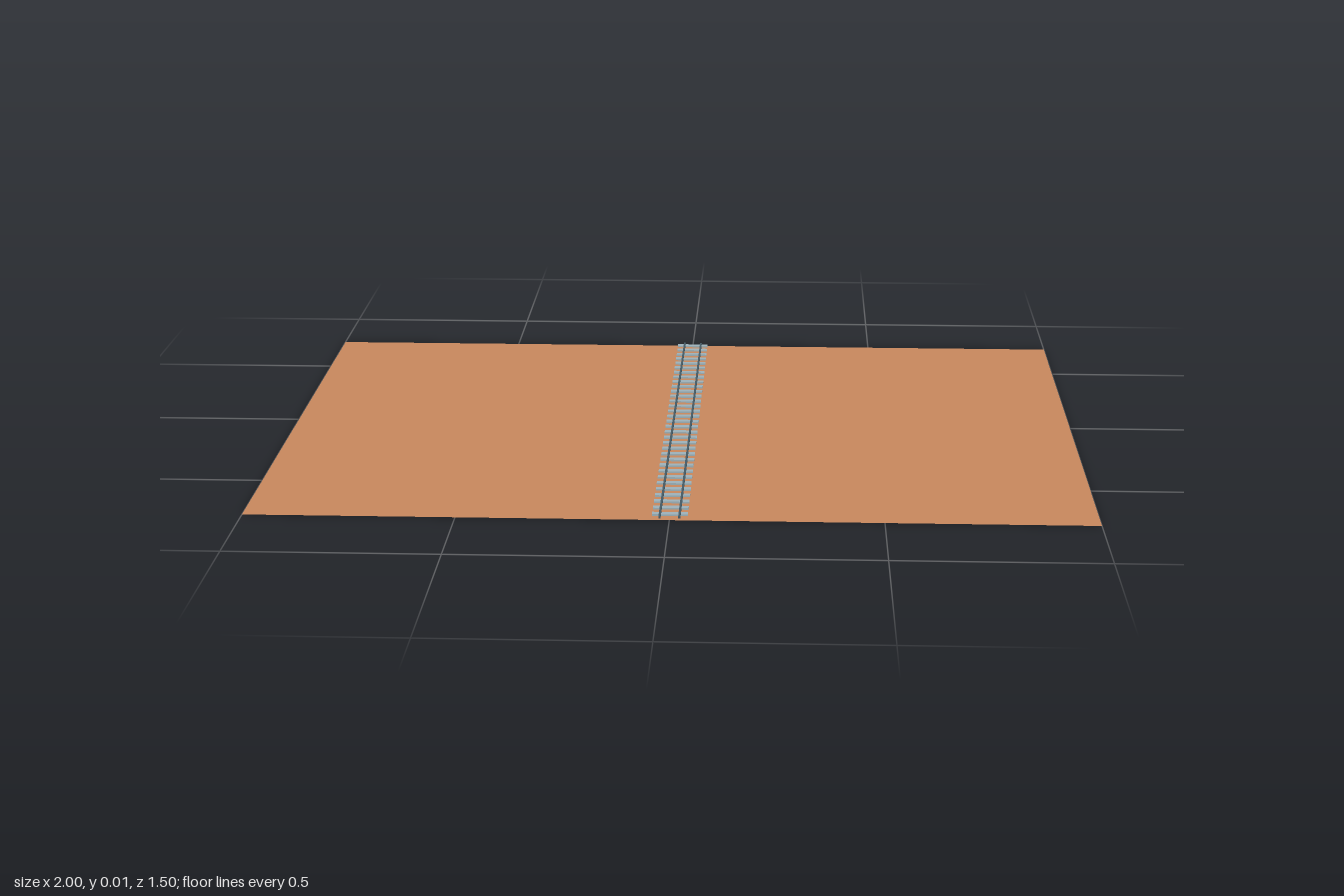
import * as THREE from 'three';

const paint = (name, color, extra = {}) => {
  const m = new THREE.MeshStandardMaterial({ color, ...extra });
  m.name = name;
  return m;
};

export function createModel() {
  const group = new THREE.Group();
  group.name = 'railwayTrack';
  const earth = paint('earth', 0xc8885d, { side: THREE.DoubleSide });
  const sleeperGrey = paint('sleeperGrey', 0x9db2ba);
  const railSteel = paint('railSteel', 0x455a64);

  const add = (name, geometry, material, x, y, z) => {
    const mesh = new THREE.Mesh(geometry, material);
    mesh.name = name;
    mesh.position.set(x, y, z);
    group.add(mesh);
  };

  // flat ground sheet
  add('ground', new THREE.PlaneGeometry(2, 1.5).rotateX(-Math.PI / 2), earth, 0, 0, 0);

  // evenly spaced sleepers
  const count = 33, first = -0.742, last = 0.713;
  const sleeper = new THREE.BoxGeometry(0.084, 0.004, 0.017);
  for (let i = 0; i < count; i++) {
    add('sleeper', sleeper, sleeperGrey, 0, 0.0023, first + (last - first) * i / (count - 1));
  }

  // pair of rails resting on the sleepers
  const rail = new THREE.BoxGeometry(0.005, 0.005, 1.5);
  for (const [name, side] of [['leftRail', 1], ['rightRail', -1]]) {
    add(name, rail, railSteel, side * 0.023, 0.0066, 0);
  }
  return group;
}
